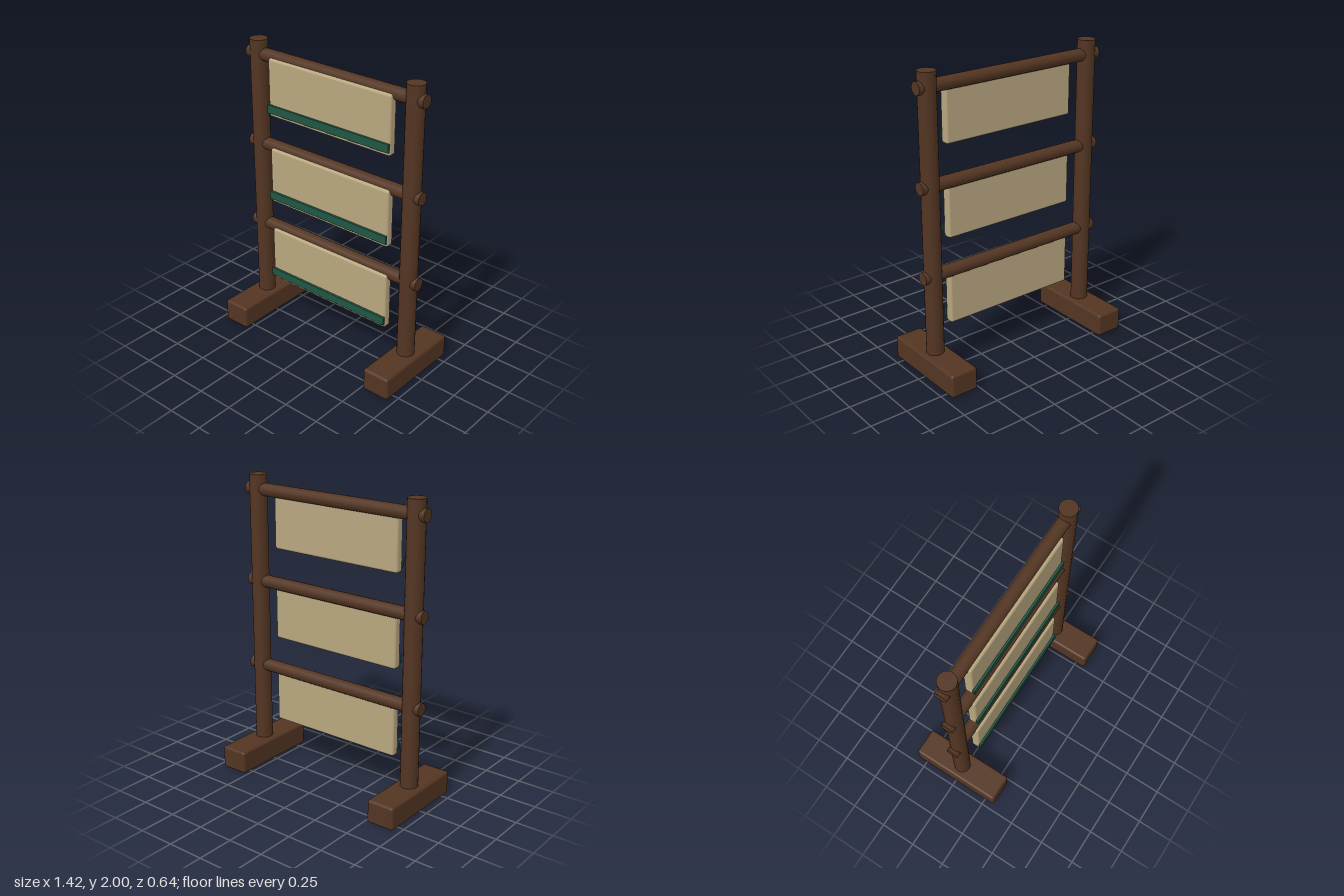
import * as THREE from 'three';
import { RoundedBoxGeometry } from 'three/addons/geometries/RoundedBoxGeometry.js';

export function createModel() {
  const model = new THREE.Group();
  model.name = 'bannerRack';

  const material = (name, color) => {
    const m = new THREE.MeshStandardMaterial({ color });
    m.name = name;
    return m;
  };
  const wood = material('dark wood', 0x533522);
  const cloth = material('tan cloth', 0xb8a67f);
  const green = material('green trim', 0x205644);

  const add = (parent, name, geometry, mat, x, y, z) => {
    const mesh = new THREE.Mesh(geometry, mat);
    mesh.name = name;
    mesh.position.set(x, y, z);
    parent.add(mesh);
    return mesh;
  };

  // Feet and upright posts, mirrored left and right
  const footGeo = new RoundedBoxGeometry(0.193, 0.157, 0.64, 2, 0.018);
  const postGeo = new THREE.CylinderGeometry(0.058, 0.058, 1.9, 20);
  for (const [side, s] of [['left', 1], ['right', -1]]) {
    add(model, side + 'Foot', footGeo, wood, s * 0.613, 0.0785, 0);
    add(model, side + 'Post', postGeo, wood, s * 0.613, 1.05, 0);
  }

  // Three rails, each carrying a padded panel with a green stripe
  const railGeo = new THREE.CylinderGeometry(0.0425, 0.0425, 1.38, 16).rotateZ(Math.PI / 2);
  const panelGeo = new RoundedBoxGeometry(0.966, 0.388, 0.061, 2, 0.016);
  const stripeGeo = new RoundedBoxGeometry(0.97, 0.058, 0.017, 1, 0.004);
  [1.903, 1.289, 0.695].forEach((y, i) => {
    const tier = new THREE.Group();
    tier.name = 'tier' + (i + 1);
    tier.position.y = y;
    add(tier, 'rail', railGeo, wood, 0, 0, 0);
    add(tier, 'panel', panelGeo, cloth, 0, -0.188, 0.0305);
    add(tier, 'stripe', stripeGeo, green, 0, -0.326, 0.068);
    model.add(tier);
  });

  return model;
}
